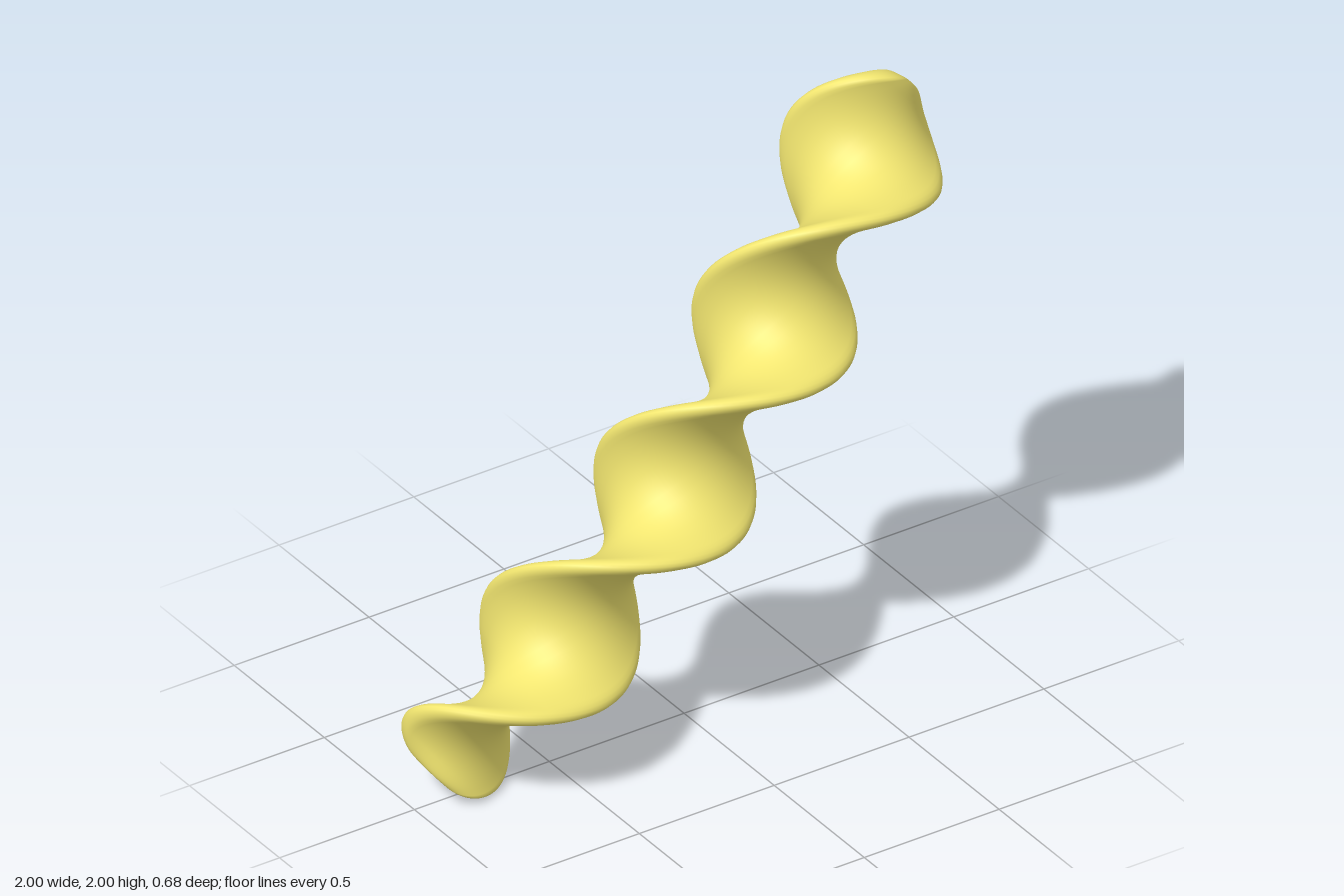
import * as THREE from 'three';

const HALF_WIDTH = 0.268, HALF_MIDDLE = 0.068, HALF_EDGE = 0.043;
const HALF_TURN = 0.59;              // diagonal advance per half turn
const ROWS = 300;

// Gently bowed centre line, rising diagonally
const axis = new THREE.CatmullRomCurve3([
  [-0.925, 0.06, -0.02], [-0.62, 0.335, 0.042], [-0.2, 0.735, 0.072],
  [0.21, 1.15, 0.038], [0.61, 1.57, -0.065], [0.925, 1.852, -0.165],
].map(p => new THREE.Vector3(...p)));

// Distance along the diagonal
const advance = p => (p.x + p.y) * Math.SQRT1_2;

// Quarter-ellipse rise from 0 at the end to 1 at distance len
const rise = (d, len) => Math.sqrt(1 - (1 - THREE.MathUtils.clamp(d / len, 0, 1)) ** 2);

// Ribbon cross-section, counter-clockwise: thicker in the middle, round edges
function ribbonSection() {
  const pts = [], flat = HALF_WIDTH - HALF_EDGE;
  for (const side of [1, -1]) {
    for (let i = 0; i <= 8; i++) {
      const a = -Math.PI / 2 + Math.PI * i / 8;
      pts.push([side * (flat + HALF_EDGE * Math.cos(a)), side * HALF_EDGE * Math.sin(a)]);
    }
    for (let i = 1; i < 10; i++) {
      const p = 1 - i / 5;
      pts.push([side * flat * p, side * (HALF_EDGE + (HALF_MIDDLE - HALF_EDGE) * (1 - p * p))]);
    }
  }
  return pts;
}

function twistedRibbon() {
  const section = ribbonSection(), M = section.length;
  const positions = [], index = [];

  // Rows along the axis, closer together at the ends, closed by shrunken rows
  const rows = [[0, 0], [0, 0.9]];
  for (let i = 0; i <= ROWS; i++) rows.push([(1 - Math.cos(Math.PI * i / ROWS)) / 2, 1]);
  rows.push([1, 0.9], [1, 0]);

  const uStart = advance(axis.getPoint(0)), uEnd = advance(axis.getPoint(1));
  const zAxis = new THREE.Vector3(0, 0, 1);
  for (const [s, k] of rows) {
    const c = axis.getPoint(s), t = axis.getTangent(s), u = advance(c);
    const v = zAxis.clone().cross(t).normalize();
    const n = t.clone().cross(v);
    const angle = Math.PI / 2 + Math.PI * (u + 0.195) / HALF_TURN;
    const a = v.clone().multiplyScalar(Math.cos(angle)).addScaledVector(n, Math.sin(angle));
    const b = n.clone().multiplyScalar(Math.cos(angle)).addScaledVector(v, -Math.sin(angle));
    // Rounded outline and softened rim at the ends
    const d = Math.min(u - uStart, uEnd - u);
    const w = k * (0.25 + 0.75 * rise(d, 0.28));
    const h = k * (0.6 + 0.4 * rise(d, 0.05));
    for (const [p, q] of section) {
      const pt = c.clone().addScaledVector(a, p * w).addScaledVector(b, q * h);
      positions.push(pt.x, pt.y, pt.z);
    }
  }
  for (let i = 0; i < rows.length - 1; i++) {
    for (let j = 0; j < M; j++) {
      const j2 = (j + 1) % M;
      const p = i * M + j, q = i * M + j2, r = p + M, s = q + M;
      index.push(p, q, r, q, s, r);
    }
  }
  const g = new THREE.BufferGeometry();
  g.setAttribute('position', new THREE.Float32BufferAttribute(positions, 3));
  g.setIndex(index);
  g.computeVertexNormals();
  return g;
}

export function createModel() {
  const group = new THREE.Group();
  group.name = 'spiralPasta';
  const ribbon = new THREE.Mesh(twistedRibbon(), new THREE.MeshStandardMaterial({ color: 0xf2e670 }));
  ribbon.name = 'twistedRibbon';
  group.add(ribbon);
  return group;
}
